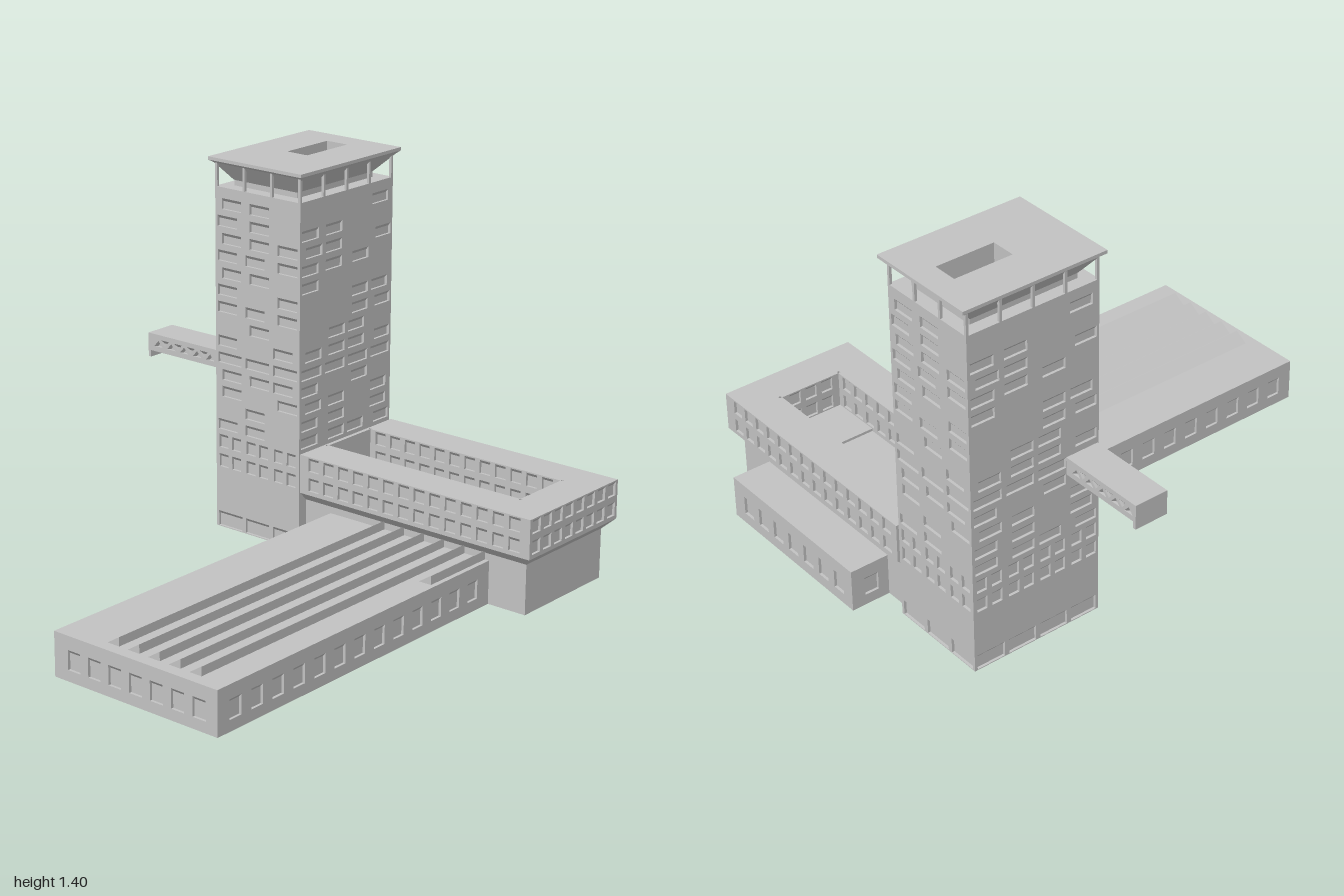
import * as THREE from 'three';

const D = 0.01; // wall thickness, and so the depth of every window recess
const HEAD = 0.012; // drop of the sloping window heads
const concrete = new THREE.MeshStandardMaterial({ color: 0xc2c2c2 });
concrete.name = 'concrete grey';

function add(group, name, geometry) {
  const mesh = new THREE.Mesh(geometry, concrete);
  mesh.name = name;
  group.add(mesh);
  return mesh;
}

function box(group, name, x0, x1, y0, y1, z0, z1) {
  const mesh = add(group, name, new THREE.BoxGeometry(x1 - x0, y1 - y0, z1 - z0));
  mesh.position.set((x0 + x1) / 2, (y0 + y1) / 2, (z0 + z1) / 2);
}

// Flat-shaded geometry from four-cornered faces
function quads(list) {
  const pos = [];
  for (const [a, b, c, d] of list) pos.push(...a, ...b, ...c, ...a, ...c, ...d);
  const g = new THREE.BufferGeometry();
  g.setAttribute('position', new THREE.Float32BufferAttribute(pos, 3));
  g.computeVertexNormals();
  return g;
}

// Skin through rectangular rings [x0, x1, z0, z1, y], closed at both ends
function loft(rings) {
  const loops = rings.map(([x0, x1, z0, z1, y]) => [[x0, y, z1], [x1, y, z1], [x1, y, z0], [x0, y, z0]]);
  const faces = [[...loops[0]].reverse(), loops[loops.length - 1]];
  for (let i = 0; i + 1 < loops.length; i++) {
    for (let k = 0; k < 4; k++) {
      const n = (k + 1) % 4;
      faces.push([loops[i][k], loops[i][n], loops[i + 1][n], loops[i + 1][k]]);
    }
  }
  return quads(faces);
}

const rect = (x, y, w, h) => [[x, y], [x + w, y], [x + w, y + h], [x, y + h]];

// Even row of equal rectangular windows
const windowRow = (count, start, pitch, y, w, h) =>
  Array.from({ length: count }, (_, i) => rect(start + i * pitch, y, w, h));

// Pierced wall panel with sloping heads in its openings
function wall(group, name, w, h, holes, x, y, z, turn) {
  const shape = new THREE.Shape(rect(0, 0, w, h).map(p => new THREE.Vector2(...p)));
  const heads = [];
  for (const hole of holes) {
    shape.holes.push(new THREE.Path(hole.map(p => new THREE.Vector2(...p))));
    hole.forEach((a, i) => {
      const b = hole[(i + 1) % hole.length];
      if (b[0] < a[0] - 1e-6) {
        heads.push([[b[0], b[1], 0], [b[0], b[1] - HEAD, -D], [a[0], a[1] - HEAD, -D], [a[0], a[1], 0]]);
      }
    });
  }
  const panel = new THREE.Group();
  panel.name = name;
  const geometry = new THREE.ExtrudeGeometry(shape, { depth: D, bevelEnabled: false });
  geometry.translate(0, 0, -D);
  add(panel, 'wallPanel', geometry);
  if (heads.length) add(panel, 'windowHeads', quads(heads));
  panel.position.set(x, y, z);
  panel.rotation.y = turn * Math.PI / 2;
  group.add(panel);
}

// Walls round a block (or facing into a court); each side is a hole list or null
function walls(group, [x0, x1, y0, y1, z0, z1], { front, right, back, left }, inward = false) {
  const w = x1 - x0, l = z1 - z0, h = y1 - y0;
  if (front) wall(group, 'frontWall', w, h, front, x0, y0, inward ? z0 : z1, 0);
  if (right) wall(group, 'rightWall', l, h, right, inward ? x0 : x1, y0, z1, 1);
  if (back) wall(group, 'backWall', w, h, back, x1, y0, inward ? z1 : z0, 2);
  if (left) wall(group, 'leftWall', l, h, left, inward ? x1 : x0, y0, z0, 3);
}

function part(parent, name) {
  const g = new THREE.Group();
  g.name = name;
  parent.add(g);
  return g;
}

// Tower openings: a = near the cell start, b = near its end, f = full cell
const NARROW = ['bb-', 'ab-', 'bbb', 'aab', 'bb-', 'a-b', 'aab', '-b-', 'a-a', 'fff', 'bba', 'b-b', '-a-', 'aa-'];
const WIDE = ['---a', 'aa--', 'ba-b', 'aab-', 'a---', '--ba', '--bb', '-ba-', 'bbab', 'ffff', 'a-b-', 'bb-a', 'ab-a', 'abab'];

function towerHoles(pattern) {
  const holes = [];
  const cell = i => 0.011 + i * 0.1305;
  pattern.forEach((row, r) => [...row].forEach((c, i) => {
    if (c === '-') return;
    holes.push(rect(cell(i) + (c === 'b' ? 0.02 : 0), 1.21 - r * 0.0638, c === 'f' ? 0.112 : 0.091, 0.04));
  }));
  for (let i = 0; i < pattern[0].length; i++) {
    for (const y of [0.31, 0.235]) {
      holes.push(rect(cell(i) + 0.004, y, 0.042, 0.05), rect(cell(i) + 0.065, y, 0.042, 0.05));
    }
    holes.push(rect(cell(i), 0.003, 0.113, 0.057));
  }
  return holes;
}

function buildTower(root) {
  const g = part(root, 'tower');
  const [x0, x1, z0, z1, top] = [-0.53, -0.135, -0.88, -0.36, 1.29];
  box(g, 'towerCore', x0 + D, x1 - D, 0, top, z0 + D, z1 - D);
  const narrow = towerHoles(NARROW), wide = towerHoles(WIDE);
  walls(g, [x0, x1, 0, top, z0, z1], { front: narrow, back: narrow, right: wide, left: wide });

  // Open top storey: core, posts and flared roof with a light well
  box(g, 'topStoreyCore', -0.483, -0.19, top, 1.312, -0.83, -0.41);
  for (let i = 0; i <= 3; i++) {
    for (let k = 0; k <= 4; k++) {
      if (i % 3 && k % 4) continue;
      const x = x0 + i * (x1 - x0 - D) / 3, z = z0 + k * (z1 - z0 - D) / 4;
      box(g, 'roofPost', x, x + D, top, 1.385, z, z + D);
    }
  }
  add(g, 'flaredRoof', loft([
    [-0.485, -0.19, -0.83, -0.41, 1.31], [-0.535, -0.13, -0.89, -0.36, 1.375],
    [-0.55, -0.12, -0.905, -0.345, 1.385], [-0.55, -0.12, -0.905, -0.345, 1.397],
    [-0.385, -0.292, -0.81, -0.585, 1.397], [-0.385, -0.292, -0.81, -0.585, 1.315],
  ]));
}

function buildBridge(root) {
  const g = part(root, 'bridge');
  const [x0, x1, y0, y1, z0, z1] = [-0.87, -0.53, 0.61, 0.676, -0.495, -0.365];
  box(g, 'bridgeCore', x0, x1, y0, y1, z0 + D, z1 - D);
  // Alternating triangles of a truss
  const holes = [];
  for (let i = 0; i < 9; i++) {
    const x = 0.05 + i * 0.032, lo = 0.02, hi = 0.048;
    holes.push(i % 2 ? [[x, lo + 0.005], [x + 0.02, hi], [x - 0.02, hi]] : [[x - 0.02, lo], [x + 0.02, lo], [x, hi - 0.005]]);
  }
  walls(g, [x0, x1, y0, y1, z0, z1], { front: holes, back: holes });
  box(g, 'bridgeEndLip', x0, x0 + 0.012, 0.585, y0, z0, z1);
}

function buildCourtBlock(root) {
  const g = part(root, 'courtBlock');
  const [x0, x1, z0, z1, y0, y1] = [-0.135, 0.87, -0.89, -0.365, 0.22, 0.365];
  const [cx0, cx1, cz0, cz1] = [-0.12, 0.725, -0.75, -0.51];
  box(g, 'groundFloor', x0, 0.835, 0, 0.186, -0.85, -0.4);
  const inner = [x0, x1 - D, z0 + D, z1 - D], court = [cx0 - D, cx1 + D, cz0 - D, cz1 + D];
  add(g, 'upperFloorCore', loft([
    [x0, 0.835, -0.855, -0.4, 0.185], [x0, x1, z0, z1, y0], [...inner, y0], [...inner, y1],
    [...court, y1], [...court, y0],
  ]));
  const rows = (count, start, pitch) =>
    [0.09, 0.015].flatMap(y => windowRow(count, start, pitch, y, 0.046, 0.05));
  walls(g, [x0, x1, y0, y1, z0, z1], {
    front: rows(14, 0.04, 0.0675), back: rows(14, 0.05, 0.0675), right: rows(8, 0.015, 0.0645),
  });
  walls(g, [cx0, cx1, y0, y1, cz0, cz1], {
    front: rows(12, 0.025, 0.0675), back: rows(12, 0.025, 0.0675), left: rows(3, 0.03, 0.0675), right: [],
  }, true);
  // Raised floors at both ends of the court
  box(g, 'courtStep', cx0, -0.055, y0, 0.23, cz0, cz1);
  box(g, 'courtStep', 0.53, cx1, y0, 0.23, cz0, cz1);
}

function buildHall(root) {
  const g = part(root, 'hall');
  const [x0, x1, h] = [-0.02, 0.68, 0.16];
  const ends = windowRow(7, 0.06, 0.0895, 0.04, 0.055, 0.07);
  const sides = start => windowRow(13, start, 0.102, 0.04, 0.055, 0.07);
  box(g, 'hallCore', x0 + D, x1 - D, 0, h, -0.4, 1 - D);
  walls(g, [x0, x1, 0, h, -0.4, 1], { front: ends, right: sides(0.056), left: sides(0.066) });

  // Sawtooth skylights, the last one short
  for (let i = 0; i < 6; i++) {
    const x = 0.225 + i * 0.0875;
    const z = i < 5 ? 0.955 : -0.095;
    const tooth = new THREE.Shape([[-0.05, 0], [0, 0], [0, 0.032]].map(p => new THREE.Vector2(...p)));
    const mesh = add(g, 'skylight', new THREE.ExtrudeGeometry(tooth, { depth: z + 0.4, bevelEnabled: false }));
    mesh.position.set(x, h, -0.4);
  }

  // Low annex behind
  const annex = part(root, 'rearAnnex');
  box(annex, 'annexCore', x0 + D, x1 - D, 0, h, -1 + D, -0.85);
  walls(annex, [x0, x1, 0, h, -1, -0.85], {
    back: ends, right: [rect(0.042, 0.04, 0.055, 0.07)], left: [rect(0.053, 0.04, 0.055, 0.07)],
  });
}

export function createModel() {
  const root = new THREE.Group();
  root.name = 'towerBuilding';
  buildTower(root);
  buildBridge(root);
  buildCourtBlock(root);
  buildHall(root);
  return root;
}
